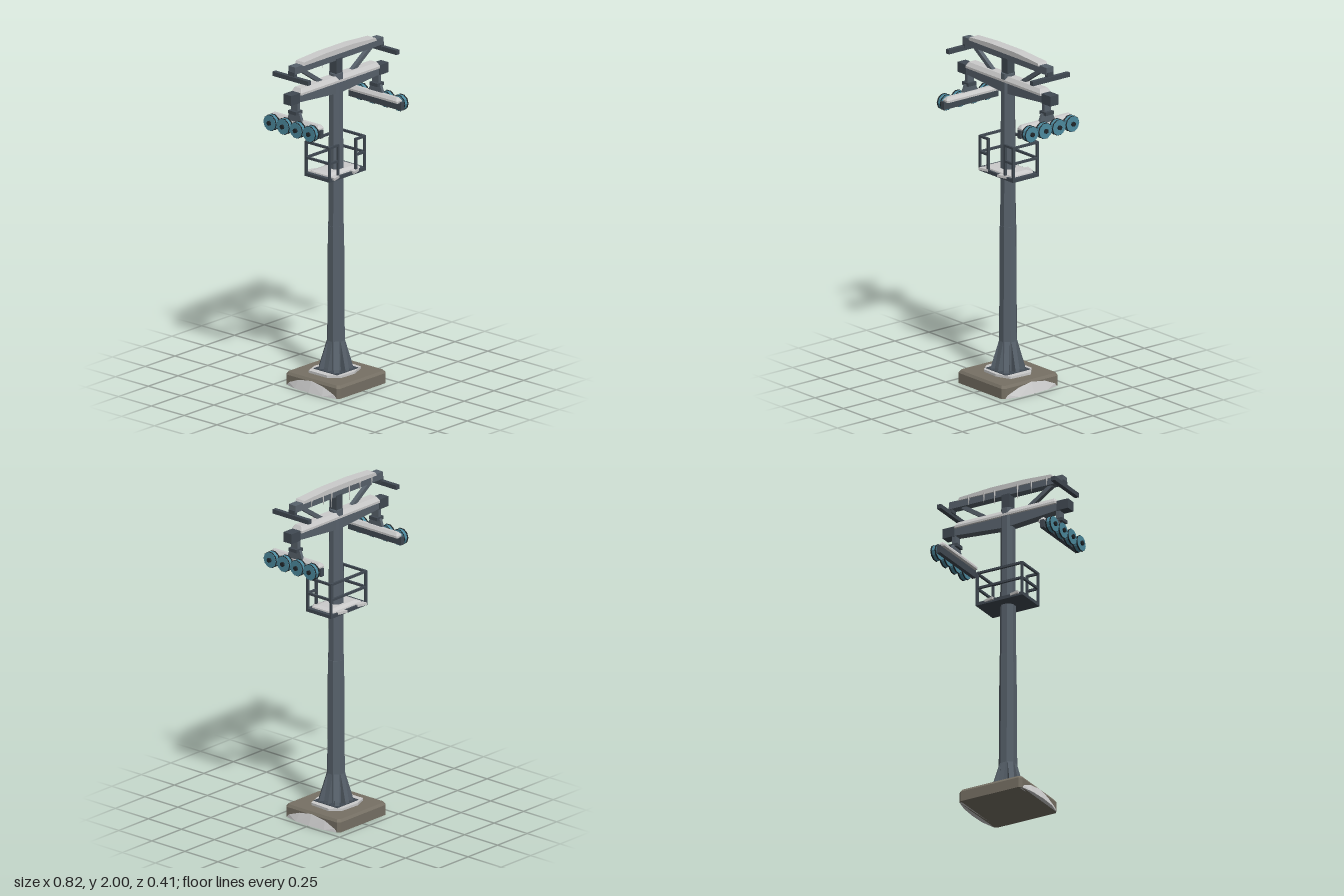
import * as THREE from 'three';
import { ConvexGeometry } from 'three/addons/geometries/ConvexGeometry.js';

const mat = (color) => new THREE.MeshStandardMaterial({ color, flatShading: true });
const steel = mat(0x58626c), darkSteel = mat(0x414a53), concrete = mat(0x777165);
const blue = mat(0x4d8ba0), rubber = mat(0x20272b), snow = mat(0xcccccc);

function add(parent, name, geo, material, x = 0, y = 0, z = 0) {
  const m = new THREE.Mesh(geo, material);
  m.name = name;
  m.position.set(x, y, z);
  parent.add(m);
  return m;
}

// box given by its extents
function block(parent, name, material, x0, x1, y0, y1, z0, z1) {
  return add(parent, name, new THREE.BoxGeometry(x1 - x0, y1 - y0, z1 - z0), material,
    (x0 + x1) / 2, (y0 + y1) / 2, (z0 + z1) / 2);
}

// square bar between two points
function bar(parent, name, material, a, b, t) {
  const p = new THREE.Vector3(...a), q = new THREE.Vector3(...b);
  const m = add(parent, name, new THREE.BoxGeometry(t, t, p.distanceTo(q)), material);
  m.position.copy(p).add(q).multiplyScalar(0.5);
  m.lookAt(q);
  return m;
}

// block with chamfered corners; levels are [y, inset] pairs
function chamfered(hx, hz, c, levels) {
  const pts = [];
  for (const [y, i] of levels) {
    for (const sx of [-1, 1]) for (const sz of [-1, 1]) {
      pts.push(new THREE.Vector3(sx * (hx - i), y, sz * (hz - i - c)));
      pts.push(new THREE.Vector3(sx * (hx - i - c), y, sz * (hz - i)));
    }
  }
  return new ConvexGeometry(pts);
}

// flat profile in x, y extruded evenly about z = 0
function plate(points, depth) {
  const g = new THREE.ExtrudeGeometry(new THREE.Shape(points.map((p) => new THREE.Vector2(...p))),
    { depth, bevelEnabled: false });
  return g.translate(0, 0, -depth / 2);
}

function octagon(rTop, rBottom, h) {
  const k = 1 / Math.cos(Math.PI / 8);
  return new THREE.CylinderGeometry(rTop * k, rBottom * k, h, 8).rotateY(Math.PI / 8);
}

function buildFoot(root) {
  const foot = new THREE.Group();
  foot.name = 'foot';
  root.add(foot);
  add(foot, 'concreteBase', chamfered(0.205, 0.205, 0.015, [[0, 0], [0.06, 0], [0.075, 0.01]]), concrete);
  // snow drifts leaning on both sides
  for (const s of [-1, 1]) {
    const pts = [];
    for (const [z, out, h] of [[-0.19, 0.205, 0.02], [-0.11, 0.225, 0.05], [0, 0.232, 0.065], [0.1, 0.228, 0.05], [0.19, 0.206, 0.02]]) {
      pts.push(new THREE.Vector3(s * out, 0, z), new THREE.Vector3(s * 0.19, 0, z),
        new THREE.Vector3(s * 0.207, h, z * 0.9));
    }
    add(foot, 'snowDrift', new ConvexGeometry(pts), snow);
  }
  const patch = [[-0.13, -0.09], [-0.05, -0.12], [0.07, -0.115], [0.13, -0.06], [0.12, 0.08], [0.03, 0.115], [-0.08, 0.11], [-0.13, 0.05]];
  add(foot, 'footSnow', plate(patch, 0.018).rotateX(Math.PI / 2), snow, 0, 0.08, 0);
  block(foot, 'footPlate', darkSteel, -0.09, 0.09, 0.07, 0.092, -0.09, 0.09);
  // tapering gussets around the mast
  for (let i = 0; i < 8; i++) {
    const r = i % 2 ? 0.098 : 0.087;
    const g = add(foot, 'gusset', plate([[0.02, 0.085], [r, 0.085], [r - 0.004, 0.11], [0.047, 0.27], [0.02, 0.27]], 0.03), steel);
    g.rotation.y = i * Math.PI / 4;
  }
}

function buildPlatform(root) {
  const p = new THREE.Group();
  p.name = 'platform';
  root.add(p);
  const X = 0.147, Z0 = -0.093, Z1 = 0.083, t = 0.013, gate = 0.075;
  block(p, 'deck', darkSteel, -0.153, 0.153, 1.25, 1.27, -0.1, 0.09);
  add(p, 'deckSnow', chamfered(0.13, 0.083, 0.01, [[1.265, 0], [1.278, 0.004], [1.287, 0.03]]), snow, 0, 0, -0.005);
  for (const [x, z] of [[-0.1, -0.1], [0.065, -0.1], [-0.1, 0.09], [0.065, 0.09]]) {
    const o = Math.sign(z) * 0.018;
    add(p, 'snowLip', new ConvexGeometry([[-0.03, o], [0.03, 0], [-0.03, -o], [0.03, -o]].flatMap(
      ([a, b]) => [new THREE.Vector3(x + a, 1.26, z + b), new THREE.Vector3(x + a, 1.275, z + b)])), snow);
  }
  for (const [x, z] of [[-X, Z0], [X, Z0], [-X, Z1], [X, Z1], [-gate, Z1], [gate, Z1]])
    bar(p, 'railPost', darkSteel, [x, 1.255, z], [x, 1.458, z], t);
  // rails leave a gate open at the front
  for (const y of [1.453, 1.36]) {
    bar(p, 'backRail', darkSteel, [-X, y, Z0], [X, y, Z0], t);
    for (const s of [-1, 1]) {
      bar(p, 'sideRail', darkSteel, [s * X, y, Z0], [s * X, y, Z1], t);
      bar(p, 'frontRail', darkSteel, [s * X, y, Z1], [s * gate, y, Z1], t);
    }
  }
}

// grooved wheel turning about the x axis
function wheel(parent, x, y, z) {
  const g = new THREE.Group();
  g.name = 'wheel';
  g.position.set(x, y, z);
  g.rotation.z = Math.PI / 2;
  g.rotation.y = 0;
  parent.add(g);
  const rim = [[0.03, -0.017], [0.048, -0.017], [0.049, -0.012], [0.037, 0], [0.049, 0.012], [0.048, 0.017], [0.03, 0.017]];
  add(g, 'tyre', new THREE.LatheGeometry(rim.map((p) => new THREE.Vector2(...p)), 10), rubber);
  add(g, 'wheelDisc', new THREE.CylinderGeometry(0.046, 0.046, 0.038, 10), blue);
  add(g, 'hub', new THREE.CylinderGeometry(0.014, 0.014, 0.058, 8), rubber);
}

function buildWheelTrain(root, s) {
  const g = new THREE.Group();
  g.name = s > 0 ? 'leftWheelTrain' : 'rightWheelTrain';
  root.add(g);
  const box = (name, m, a, b, y0, y1, z) => block(g, name, m, Math.min(s * a, s * b), Math.max(s * a, s * b), y0, y1, -z, z);
  box('hangerTop', darkSteel, 0.315, 0.37, 1.69, 1.71, 0.03);
  box('hanger', steel, 0.33, 0.352, 1.7, 1.765, 0.025);
  const cheek = plate([[-0.055, 1.65], [-0.035, 1.7], [0.035, 1.7], [0.055, 1.65], [0.045, 1.59], [-0.045, 1.59]], 0.018);
  add(g, 'hangerCheek', cheek.rotateY(Math.PI / 2), steel, s * 0.34, 0, 0);
  box('wheelBeam', darkSteel, 0.326, 0.35, 1.585, 1.632, 0.2);
  const cap = chamfered(0.022, 0.188, 0.005, [[1.628, 0], [1.64, 0], [1.657, 0.012]]);
  add(g, 'beamSnow', cap, snow, s * 0.329, 0, 0);
  for (const z of [-0.15, -0.05, 0.05, 0.15]) {
    wheel(g, s * 0.375, 1.612, z);
    bar(g, 'axle', darkSteel, [s * 0.335, 1.612, z], [s * 0.375, 1.612, z], 0.016);
  }
}

function buildArms(root) {
  const arms = new THREE.Group();
  arms.name = 'crossArms';
  root.add(arms);
  // deepening lower arm with end blocks
  add(arms, 'lowerArm', plate([[-0.4, 1.765], [-0.03, 1.735], [0.03, 1.735], [0.4, 1.765], [0.4, 1.81], [-0.4, 1.81]], 0.052), steel);
  add(arms, 'lowerArmSnow', chamfered(0.332, 0.039, 0.004, [[1.802, 0], [1.815, 0], [1.838, 0.014]]), snow);
  block(arms, 'upperPost', darkSteel, -0.026, 0.026, 1.84, 1.94, -0.026, 0.026);
  block(arms, 'upperArm', steel, -0.37, 0.37, 1.932, 1.975, -0.025, 0.025);
  const cap = [[-0.31, 1.97], [0.31, 1.97], [0.3, 1.987], [0.1, 2], [-0.12, 2], [-0.3, 1.99]];
  add(arms, 'upperArmSnow', plate(cap, 0.064), snow);
  for (const s of [-1, 1]) {
    block(arms, 'armEnd', darkSteel, s * 0.372 - 0.038, s * 0.372 + 0.038, 1.757, 1.816, -0.03, 0.03);
    bar(arms, 'strut', steel, [s * 0.09, 1.8, 0], [s * 0.29, 1.935, 0], 0.024);
    bar(arms, 'endBar', darkSteel, [s * 0.372, 1.907, -0.135], [s * 0.372, 1.907, 0.135], 0.026);
    block(arms, 'endBarBracket', darkSteel, s * 0.365 - 0.012, s * 0.365 + 0.012, 1.91, 1.945, -0.022, 0.022);
  }
  // icicles along the back edge of the snow
  for (const [x, len] of [[-0.27, 0.06], [-0.17, 0.07], [-0.08, 0.11], [0.07, 0.1], [0.14, 0.07], [0.24, 0.06]]) {
    add(arms, 'icicle', new THREE.ConeGeometry(0.006, len, 5).rotateX(Math.PI), snow, x, 1.978 - len / 2, -0.03);
  }
}

export function createModel() {
  const root = new THREE.Group();
  root.name = 'liftTower';
  buildFoot(root);
  // mast in two slightly tapering sections
  add(root, 'lowerMast', octagon(0.045, 0.05, 0.87), steel, 0, 0.51, 0);
  add(root, 'upperMast', octagon(0.038, 0.043, 0.91), steel, 0, 1.397, 0);
  buildPlatform(root);
  buildArms(root);
  for (const s of [-1, 1]) buildWheelTrain(root, s);
  return root;
}
